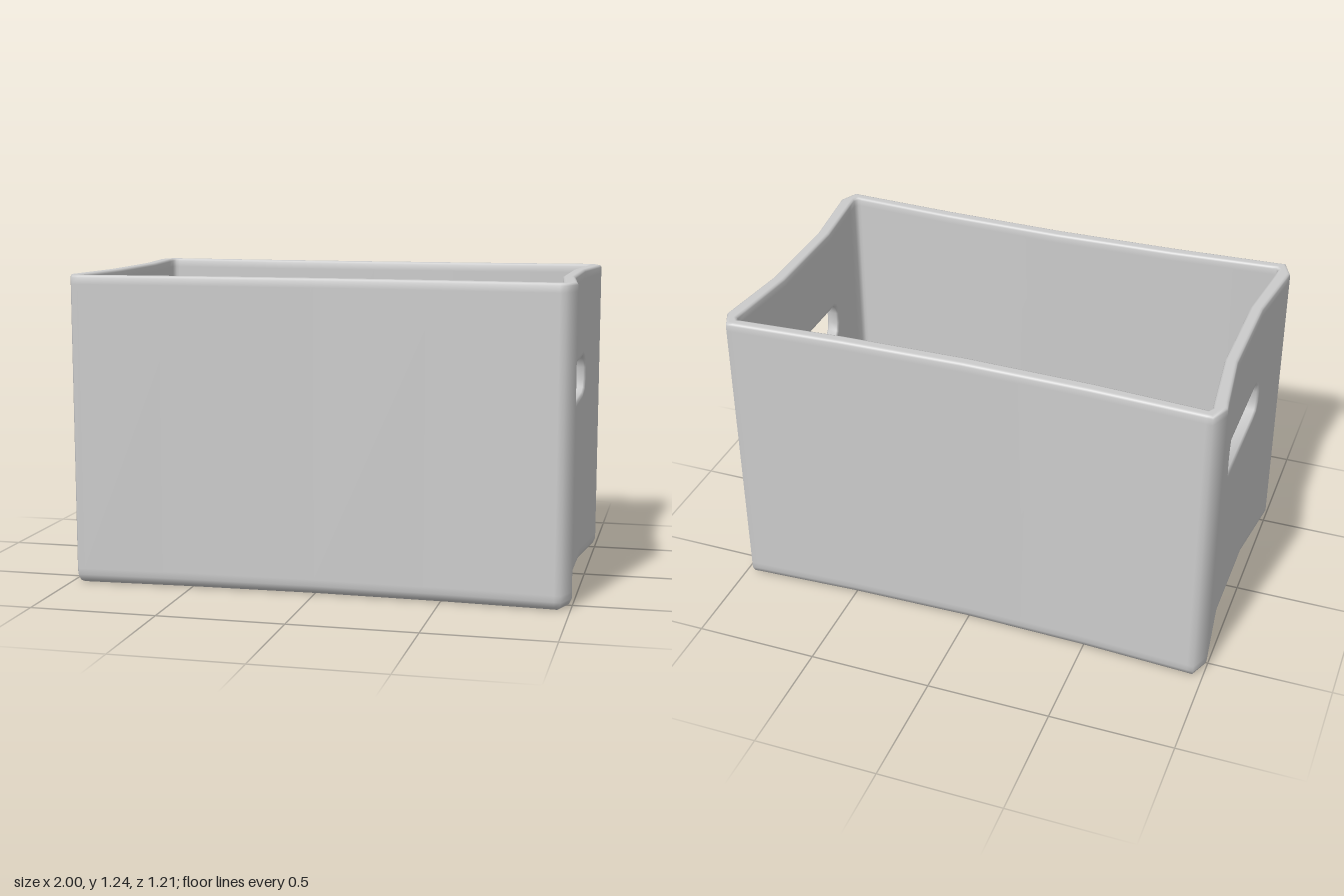
import * as THREE from 'three';
import { toCreasedNormals } from 'three/addons/utils/BufferGeometryUtils.js';

const WALL_LOW = 0.06, WALL_HIGH = 1.2, BEND = 0.21, EDGE = 0.49;

// End walls are flat in the middle and flare out towards the corners
const wallX = (z, inner) => {
  const t = Math.max(0, Math.abs(z) - BEND);
  return inner ? 0.91 + 0.11 * t : 0.96 + 0.125 * t;
};

// Quarter plans [x, z], from the middle of the front to the end wall
const OUTER = [[0, 0.574], [0.5, 0.584], [0.94, 0.605], [0.965, 0.607],
  [1, 0.53], [wallX(EDGE), EDGE], [wallX(BEND), BEND]];
const INNER = [[0, 0.524], [0.5, 0.535], [0.92, 0.56], [0.935, 0.563],
  [wallX(0.545, true), 0.545], [wallX(EDGE, true), EDGE], [wallX(BEND, true), BEND]];
const INSET = [[0, 1], [0, 1], [0, 1], [0.5, 1], [1, 0.5], [1, 0], [1, 0]];

// Full plan ring at height y, inset by d and mirrored to four quarters
function planRing(quarter, d, y) {
  const q = quarter.map(([x, z], i) => [x - d * INSET[i][0], z - d * INSET[i][1]]);
  const part = (pts, sx, sz) => pts.map(([x, z]) => new THREE.Vector3(sx * x, y, sz * z));
  const back = [...q].reverse();
  return [...part(q, 1, 1), ...part(back, 1, -1),
    ...part(q.slice(1), -1, -1), ...part(back.slice(0, -1), -1, 1)];
}

// Half outline [z, y] of the hand hole, grown by e
const holeHalf = (e) => [[BEND, 0.878 + e], [0.235 + 0.7 * e, 0.86 + 0.7 * e],
  [0.245 + e, 0.825], [0.245 + e, 0.775],
  [0.235 + 0.7 * e, 0.743 - 0.7 * e], [BEND, 0.725 - e]];

export function createModel() {
  const pos = [];
  const tri = (a, b, c, flip) => {
    const area = b.clone().sub(a).cross(c.clone().sub(a)).length();
    if (area < 1e-9) return;
    for (const p of flip ? [a, c, b] : [a, b, c]) pos.push(p.x, p.y, p.z);
  };
  const loft = (rings, flip = false, skip = () => false) => {
    for (let r = 0; r + 1 < rings.length; r++) {
      const a = rings[r], b = rings[r + 1], n = a.length;
      for (let i = 0; i < n; i++) {
        const j = (i + 1) % n;
        if (skip(a[i], a[j], b[i])) continue;
        tri(a[i], a[j], b[j], flip);
        tri(a[i], b[j], b[i], flip);
      }
    }
  };

  // Shell: underside, outer walls, rounded rim, inner walls, floor
  const centre = (y) => planRing(OUTER, 0, y).map(() => new THREE.Vector3(0, y, 0));
  const outer = [[0.06, 0], [0.03, 0], [0.01, 0.012], [0, 0.035], [0, WALL_LOW],
    [0, WALL_HIGH], [0, 1.225], [0.003, 1.232], [0.01, 1.235], [0.016, 1.235]];
  const inner = [[-0.014, 1.235], [-0.01, 1.235], [-0.003, 1.232], [0, 1.225],
    [0, WALL_HIGH], [0, WALL_LOW], [0, 0.05], [0.02, 0.05]];
  const isEndPanel = (p, q, up) =>
    Math.min(p.y, up.y) === WALL_LOW && Math.max(p.y, up.y) === WALL_HIGH &&
    [p, q].every((v) => Math.abs(v.x) > 0.8 && Math.abs(v.z) < EDGE + 0.01);
  loft([centre(0), ...outer.map(([d, y]) => planRing(OUTER, d, y)),
    ...inner.map(([d, y]) => planRing(INNER, d, y)), centre(0.05)], false, isEndPanel);

  // End wall panels around the hand holes
  const GROW = 0.02;
  const hole = holeHalf(GROW);
  const top = hole[0][1], bottom = hole[5][1];
  const sidePanel = [[BEND, WALL_LOW], [EDGE, WALL_LOW], [EDGE, WALL_HIGH],
    [BEND, WALL_HIGH], ...hole];
  const strip = (y0, y1) => [[0, y0], [BEND, y0], [BEND, y1], [0, y1]];
  const panels = [sidePanel, strip(WALL_LOW, bottom), strip(top, WALL_HIGH)];
  for (const panel of panels) {
    const pts = panel.map(([z, y]) => new THREE.Vector2(z, y));
    const faces = THREE.ShapeUtils.triangulateShape(pts, []);
    for (const sx of [1, -1]) for (const sz of [1, -1]) for (const inside of [false, true]) {
      const v = pts.map((p) => new THREE.Vector3(sx * wallX(p.x, inside), p.y, sz * p.x));
      const flip = sx * sz * (inside ? -1 : 1) > 0;
      for (const [a, b, c] of faces) tri(v[a], v[b], v[c], flip);
    }
  }

  // Hand hole edges: softened on both faces of the wall
  const steps = [[GROW, false, 0], [0.007, false, 0], [0, false, -0.007],
    [0, true, 0.007], [0.007, true, 0], [GROW, true, 0]];
  for (const sx of [1, -1]) {
    loft(steps.map(([e, inside, dx]) => {
      const half = holeHalf(e);
      const ring = [...half, ...half.map(([z, y]) => [-z, y]).reverse()];
      return ring.map(([z, y]) => new THREE.Vector3(sx * (wallX(z, inside) + dx), y, z));
    }), sx < 0);
  }

  // Normals are smoothed at a larger scale so fine bevels stay distinct
  let geo = new THREE.BufferGeometry();
  geo.setAttribute('position', new THREE.Float32BufferAttribute(pos, 3));
  geo.scale(100, 100, 100);
  geo = toCreasedNormals(geo, 1.3);
  geo.scale(0.01, 0.01, 0.01);

  const crate = new THREE.Mesh(geo, new THREE.MeshStandardMaterial({ color: 0xcccccc }));
  crate.name = 'crateShell';
  const group = new THREE.Group();
  group.name = 'storageCrate';
  group.add(crate);
  return group;
}
